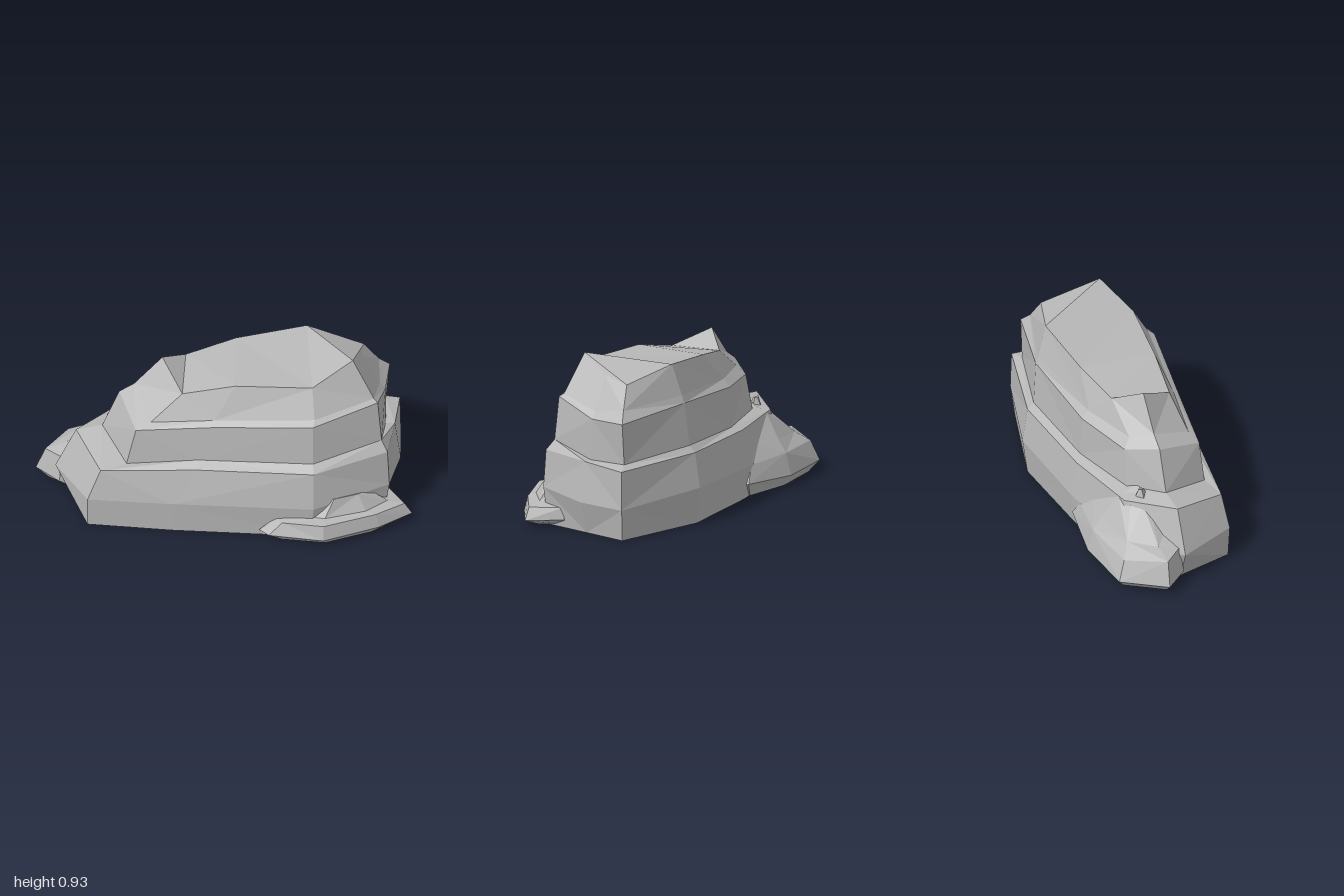
import * as THREE from 'three';

const stone = new THREE.MeshStandardMaterial({ color: 0xb8b8b8 });
stone.name = 'grey stone';

// Skins a stack of closed rings (bottom to top, counter-clockwise from above) with flat facets.
function loft(name, rings) {
  const pos = [];
  const tri = (a, b, c) => pos.push(...a, ...b, ...c);
  const n = rings[0].length;
  for (let r = 0; r < rings.length - 1; r++) {
    const lo = rings[r], hi = rings[r + 1];
    for (let i = 0; i < n; i++) {
      const j = (i + 1) % n;
      if ((i + r) % 2) {
        tri(lo[i], lo[j], hi[j]);
        tri(lo[i], hi[j], hi[i]);
      } else {
        tri(lo[i], lo[j], hi[i]);
        tri(lo[j], hi[j], hi[i]);
      }
    }
  }
  // Zigzag caps, running across the ring from point 0
  const cap = (ring, up) => {
    const put = (a, b, c) => (up ? tri(ring[a], ring[b], ring[c]) : tri(ring[a], ring[c], ring[b]));
    let l = 1, h = n - 1;
    put(0, l, h);
    while (h - l > 1) {
      put(l, l + 1, h);
      l++;
      if (h - l > 1) {
        put(l, h - 1, h);
        h--;
      }
    }
  };
  cap(rings[0], false);
  cap(rings[rings.length - 1], true);
  const geo = new THREE.BufferGeometry();
  geo.setAttribute('position', new THREE.Float32BufferAttribute(pos, 3));
  geo.computeVertexNormals();
  const mesh = new THREE.Mesh(geo, stone);
  mesh.name = name;
  return mesh;
}

// Main boulder: three stepped strata narrowing to a jagged crown
const lowerTier = [
  [[-0.83, 0, -0.08], [-0.74, 0, 0.23], [-0.29, 0, 0.3], [0.44, 0, 0.38], [0.84, 0, 0.2],
    [0.88, 0, -0.07], [0.92, 0, -0.32], [0.4, 0, -0.46], [-0.15, 0, -0.41], [-0.6, 0, -0.32]],
  [[-0.9, 0.17, -0.08], [-0.74, 0.17, 0.24], [-0.29, 0.18, 0.31], [0.46, 0.19, 0.4], [0.87, 0.21, 0.21],
    [0.94, 0.18, -0.07], [0.95, 0.175, -0.335], [0.41, 0.2, -0.485], [-0.15, 0.18, -0.43], [-0.62, 0.17, -0.33]],
  [[-0.79, 0.4, -0.08], [-0.67, 0.345, 0.22], [-0.15, 0.38, 0.28], [0.46, 0.395, 0.365], [0.86, 0.415, 0.2],
    [0.91, 0.4, -0.08], [0.945, 0.385, -0.33], [0.41, 0.39, -0.455], [-0.15, 0.38, -0.4], [-0.58, 0.38, -0.3]],
];
const middleTier = [
  [[-0.65, 0.42, -0.09], [-0.53, 0.36, 0.18], [-0.15, 0.41, 0.23], [0.46, 0.43, 0.315], [0.83, 0.47, 0.165],
    [0.86, 0.4, -0.08], [0.87, 0.405, -0.3], [0.41, 0.425, -0.42], [-0.1, 0.4, -0.36], [-0.48, 0.4, -0.25]],
  [[-0.56, 0.64, -0.09], [-0.48, 0.57, 0.17], [-0.07, 0.615, 0.22], [0.46, 0.655, 0.295], [0.81, 0.705, 0.15],
    [0.86, 0.625, -0.09], [0.89, 0.63, -0.3], [0.43, 0.66, -0.4], [-0.1, 0.62, -0.35], [-0.43, 0.6, -0.24]],
];
const crown = [
  [[-0.48, 0.69, -0.09], [-0.4, 0.6, 0.14], [-0.06, 0.64, 0.19], [0.47, 0.68, 0.26], [0.79, 0.72, 0.13],
    [0.83, 0.66, -0.09], [0.83, 0.69, -0.27], [0.43, 0.7, -0.385], [-0.1, 0.66, -0.31], [-0.4, 0.65, -0.2]],
  [[-0.33, 0.86, -0.09], [-0.23, 0.755, 0.1], [0.05, 0.82, 0.13], [0.46, 0.83, 0.175], [0.68, 0.93, 0.07],
    [0.73, 0.84, -0.09], [0.75, 0.81, -0.24], [0.45, 0.87, -0.335], [0.07, 0.83, -0.29], [-0.2, 0.78, -0.22]],
];

// Small flat slab at the front right
const slab = [
  [[0.25, 0, 0.36], [0.29, 0, 0.4], [0.52, 0, 0.44], [0.77, 0, 0.35], [0.87, 0, 0.25], [0.8, 0, 0.11], [0.5, 0, 0.14]],
  [[0.17, 0.045, 0.37], [0.22, 0.045, 0.425], [0.51, 0.045, 0.485], [0.81, 0.045, 0.37], [0.99, 0.045, 0.25], [0.87, 0.045, 0.08], [0.5, 0.045, 0.1]],
  [[0.26, 0.115, 0.36], [0.29, 0.115, 0.41], [0.51, 0.125, 0.465], [0.79, 0.12, 0.36], [0.95, 0.11, 0.25], [0.86, 0.11, 0.09], [0.5, 0.115, 0.13]],
  [[0.35, 0.13, 0.35], [0.38, 0.13, 0.37], [0.52, 0.13, 0.4], [0.74, 0.13, 0.34], [0.86, 0.125, 0.24], [0.81, 0.13, 0.14], [0.5, 0.13, 0.16]],
  [[0.47, 0.2, 0.31], [0.49, 0.21, 0.33], [0.57, 0.22, 0.35], [0.7, 0.215, 0.3], [0.76, 0.2, 0.24], [0.73, 0.18, 0.2], [0.55, 0.2, 0.22]],
];

// Sloping spur leaning against the back left
const spur = [
  [[-0.93, 0, -0.2], [-0.8, 0, -0.1], [-0.4, 0, -0.15], [-0.2, 0, -0.3], [-0.22, 0, -0.4], [-0.5, 0, -0.44], [-0.8, 0, -0.4]],
  [[-1, 0.06, -0.21], [-0.88, 0.06, -0.08], [-0.4, 0.06, -0.15], [-0.12, 0.08, -0.3], [-0.16, 0.08, -0.43], [-0.5, 0.06, -0.48], [-0.85, 0.06, -0.44]],
  [[-0.95, 0.19, -0.2], [-0.86, 0.2, -0.1], [-0.4, 0.25, -0.15], [-0.2, 0.2, -0.3], [-0.22, 0.17, -0.41], [-0.5, 0.18, -0.45], [-0.82, 0.17, -0.4]],
  [[-0.84, 0.22, -0.21], [-0.76, 0.26, -0.14], [-0.45, 0.34, -0.17], [-0.3, 0.3, -0.29], [-0.32, 0.26, -0.37], [-0.5, 0.25, -0.4], [-0.74, 0.23, -0.35]],
  [[-0.65, 0.37, -0.22], [-0.62, 0.39, -0.18], [-0.52, 0.42, -0.2], [-0.45, 0.39, -0.27], [-0.44, 0.37, -0.31], [-0.52, 0.38, -0.31], [-0.61, 0.36, -0.28]],
];

// Little broken point on top of the spur
const chip = [
  [[-0.65, 0.34, -0.2], [-0.58, 0.34, -0.15], [-0.52, 0.34, -0.21], [-0.58, 0.34, -0.26]],
  [[-0.6, 0.44, -0.21], [-0.58, 0.43, -0.19], [-0.57, 0.44, -0.21], [-0.58, 0.43, -0.22]],
];

export function createModel() {
  const group = new THREE.Group();
  group.name = 'layered rock';
  group.add(
    loft('mainBoulder', [...lowerTier, ...middleTier, ...crown]),
    loft('frontSlab', slab),
    loft('backSpur', spur),
    loft('spurChip', chip),
  );
  return group;
}
